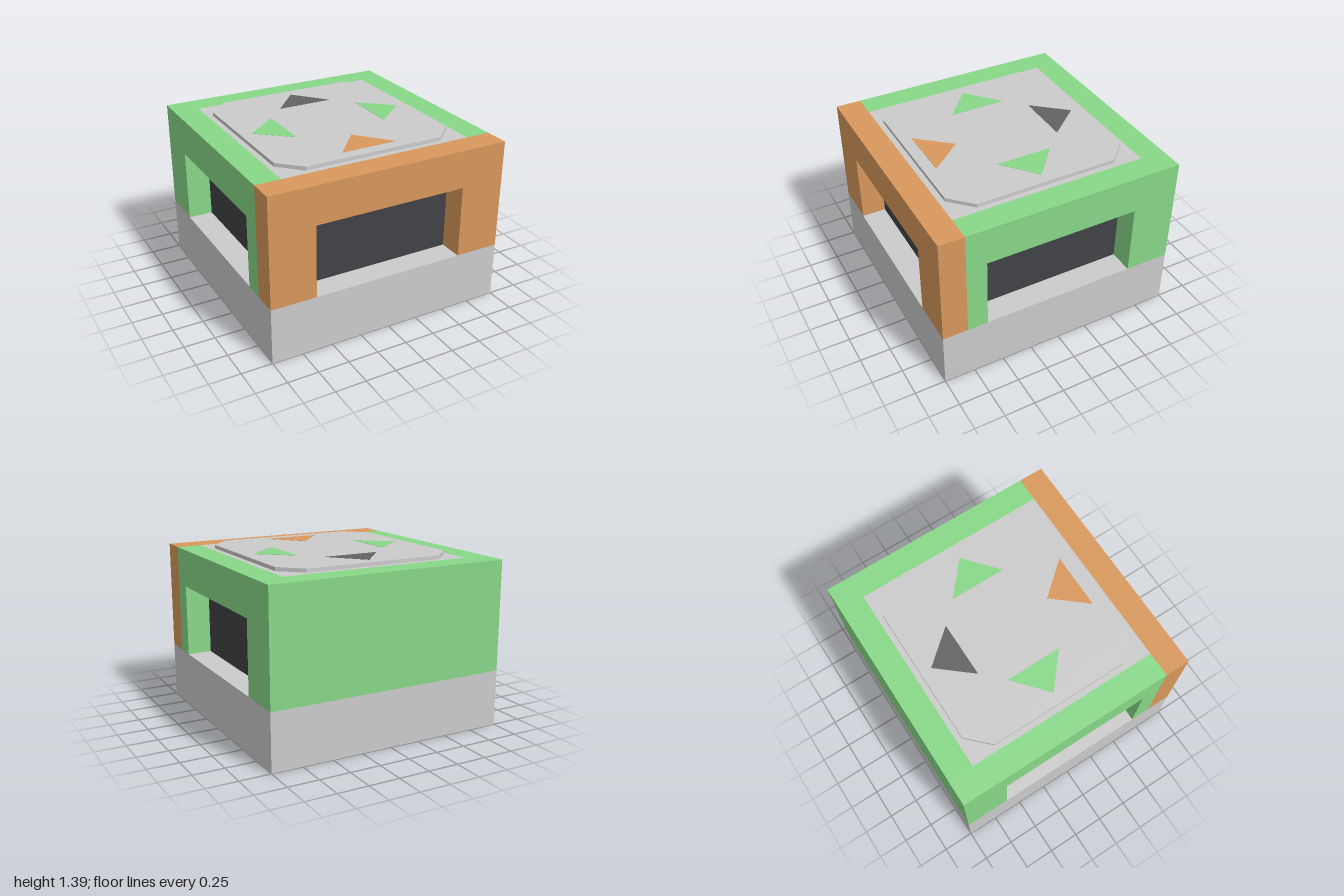
import * as THREE from 'three';

const mat = (color) => new THREE.MeshStandardMaterial({ color, flatShading: true });
const GREY = mat(0xcccccc), GREEN = mat(0x88d888), ORANGE = mat(0xd8985c);
const DARK = mat(0x414246), CHARCOAL = mat(0x626262);

const BASE = 0.46, TOP = 1.36, INNER = 0.795, LID = 1.39;
const OPEN_W = 0.63, OPEN_TOP = 1.05;

function add(parent, name, geometry, material, x = 0, y = 0, z = 0) {
  const mesh = new THREE.Mesh(geometry, material);
  mesh.name = name;
  mesh.position.set(x, y, z);
  parent.add(mesh);
  return mesh;
}

function shapeOf(points) {
  return new THREE.Shape(points.map(([x, y]) => new THREE.Vector2(x, y)));
}

// Wall with a doorway-like notch rising from its lower edge
function notchedWall(x0, x1) {
  const shape = shapeOf([
    [x0, BASE], [-OPEN_W, BASE], [-OPEN_W, OPEN_TOP], [OPEN_W, OPEN_TOP],
    [OPEN_W, BASE], [x1, BASE], [x1, TOP], [x0, TOP],
  ]);
  return new THREE.ExtrudeGeometry(shape, { depth: 1 - INNER, bevelEnabled: false });
}

// Outline in (x, z) extruded upwards
function flatPlate(points, height) {
  const shape = shapeOf(points.map(([x, z]) => [x, -z]));
  return new THREE.ExtrudeGeometry(shape, { depth: height, bevelEnabled: false }).rotateX(-Math.PI / 2);
}

export function createModel() {
  const model = new THREE.Group();
  model.name = 'machineBlock';
  const wallH = TOP - BASE, wallY = (TOP + BASE) / 2, thick = 1 - INNER;

  // Base and inner core
  add(model, 'base', new THREE.BoxGeometry(2, BASE, 2), GREY, 0, BASE / 2, 0);
  add(model, 'core', new THREE.BoxGeometry(2 * INNER, wallH, 2 * INNER), GREY, 0, wallY, 0);

  // Outer walls
  add(model, 'frontWall', notchedWall(-1, 1), ORANGE, 0, 0, INNER);
  add(model, 'backWall', new THREE.BoxGeometry(2 * INNER, wallH, thick), GREEN, 0, wallY, -(1 + INNER) / 2);
  const left = add(model, 'leftWall', notchedWall(-INNER, 1), GREEN, INNER, 0, 0);
  left.rotation.y = Math.PI / 2;
  const right = add(model, 'rightWall', notchedWall(-1, INNER), GREEN, -INNER, 0, 0);
  right.rotation.y = -Math.PI / 2;

  // Dark panels at the back of the three recesses
  [['front', 0], ['left', 1], ['right', -1]].forEach(([side, turn]) => {
    const holder = new THREE.Group();
    holder.name = side + 'Recess';
    holder.rotation.y = turn * Math.PI / 2;
    add(holder, side + 'Panel', new THREE.PlaneGeometry(2 * OPEN_W, OPEN_TOP - BASE), DARK,
      0, (OPEN_TOP + BASE) / 2, INNER + 0.005);
    model.add(holder);
  });

  // Octagonal lid
  const a = 0.75, b = 0.58;
  const outline = [[-b, a], [b, a], [a, b], [a, -b], [b, -a], [-b, -a], [-a, -b], [-a, b]];
  add(model, 'lid', flatPlate(outline, LID - TOP), GREY, 0, TOP, 0);

  // Direction arrows on the lid; the front one points inwards
  const arrow = [[-0.23, -0.39], [0.23, -0.39], [0, -0.66]];
  [['backArrow', CHARCOAL, 0, 0], ['leftArrow', GREEN, -1, 0],
    ['rightArrow', GREEN, 1, 0], ['frontArrow', ORANGE, 0, 1.045]].forEach(([name, material, turn, z]) => {
    const mesh = add(model, name, flatPlate(arrow, 0.002), material, 0, LID, z);
    mesh.rotation.y = turn * Math.PI / 2;
  });

  return model;
}
